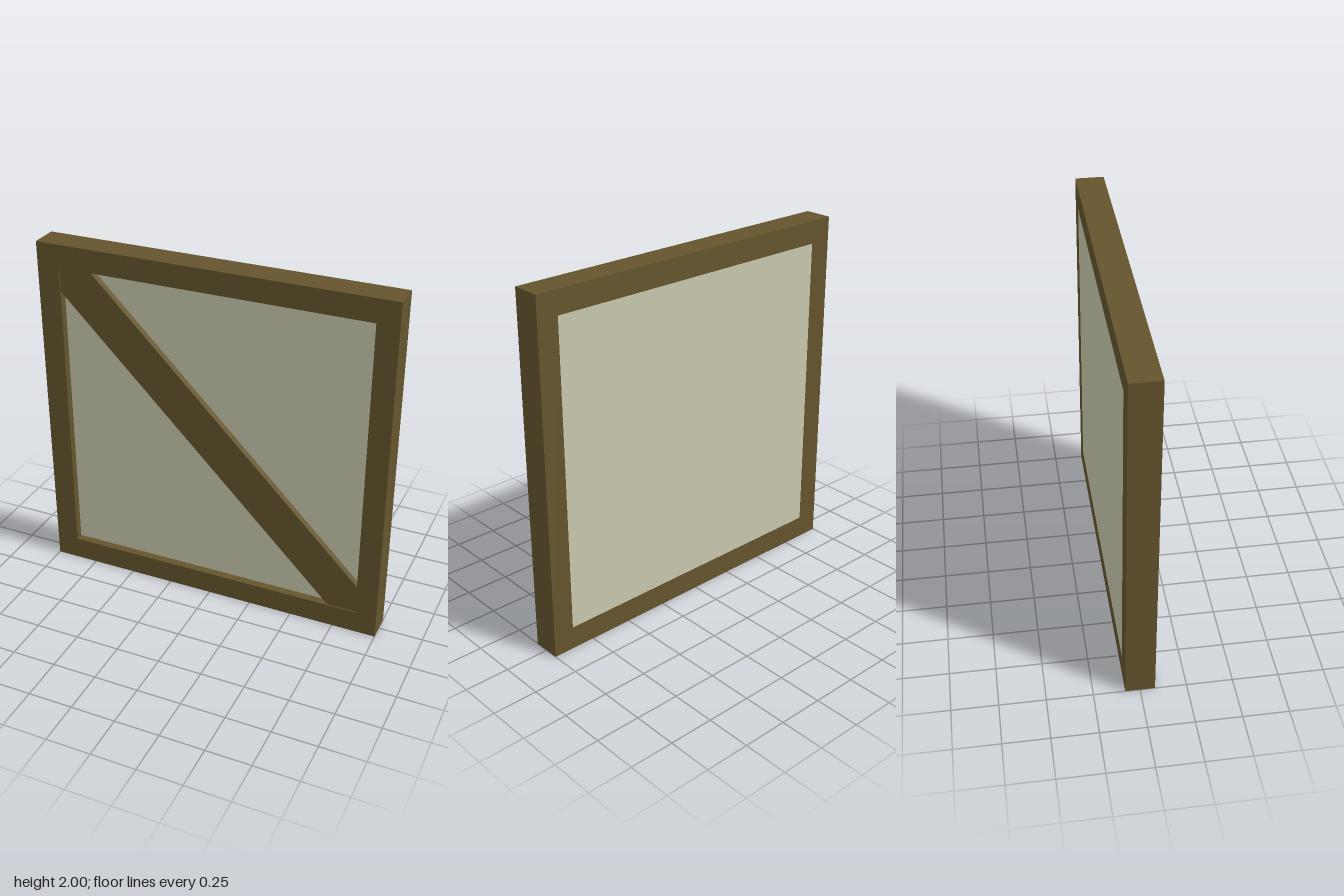
import * as THREE from 'three';

// Extrude a flat outline (with optional hole) between two z planes
function slab(name, outline, hole, back, front, material) {
  const points = (list) => list.map(([x, y]) => new THREE.Vector2(x, y));
  const shape = new THREE.Shape(points(outline));
  if (hole) shape.holes.push(new THREE.Path(points(hole)));
  const geometry = new THREE.ExtrudeGeometry(shape, { depth: front - back, bevelEnabled: false });
  geometry.translate(0, 0, back);
  const mesh = new THREE.Mesh(geometry, material);
  mesh.name = name;
  return mesh;
}

const rect = (x0, y0, x1, y1) => [[x0, y0], [x1, y0], [x1, y1], [x0, y1]];

export function createModel() {
  const wood = new THREE.MeshStandardMaterial({ color: 0x65552d });
  wood.name = 'dark wood';
  const pale = new THREE.MeshStandardMaterial({ color: 0xc9c9af });
  pale.name = 'pale panel';

  const left = -0.87, right = 0.88, bottom = 0.13, top = 1.87;
  const opening = rect(left, bottom, right, top);
  const half = 0.08, panelFront = 0.035, braceFront = 0.073;

  const model = new THREE.Group();
  model.name = 'framedPanel';

  // Square outer frame
  model.add(slab('frame', rect(-1, 0, 1, 2), opening, -half, half, wood));

  // Infill panel, flush at the back and recessed at the front
  model.add(slab('panel', opening, null, -half, panelFront, pale));

  // Diagonal brace, cut to fit the corners of the opening
  const brace = [
    [left, top], [left, 1.73], [0.715, bottom],
    [right, bottom], [right, 0.295], [-0.685, top],
  ];
  model.add(slab('diagonalBrace', brace, null, panelFront, braceFront, wood));

  return model;
}
